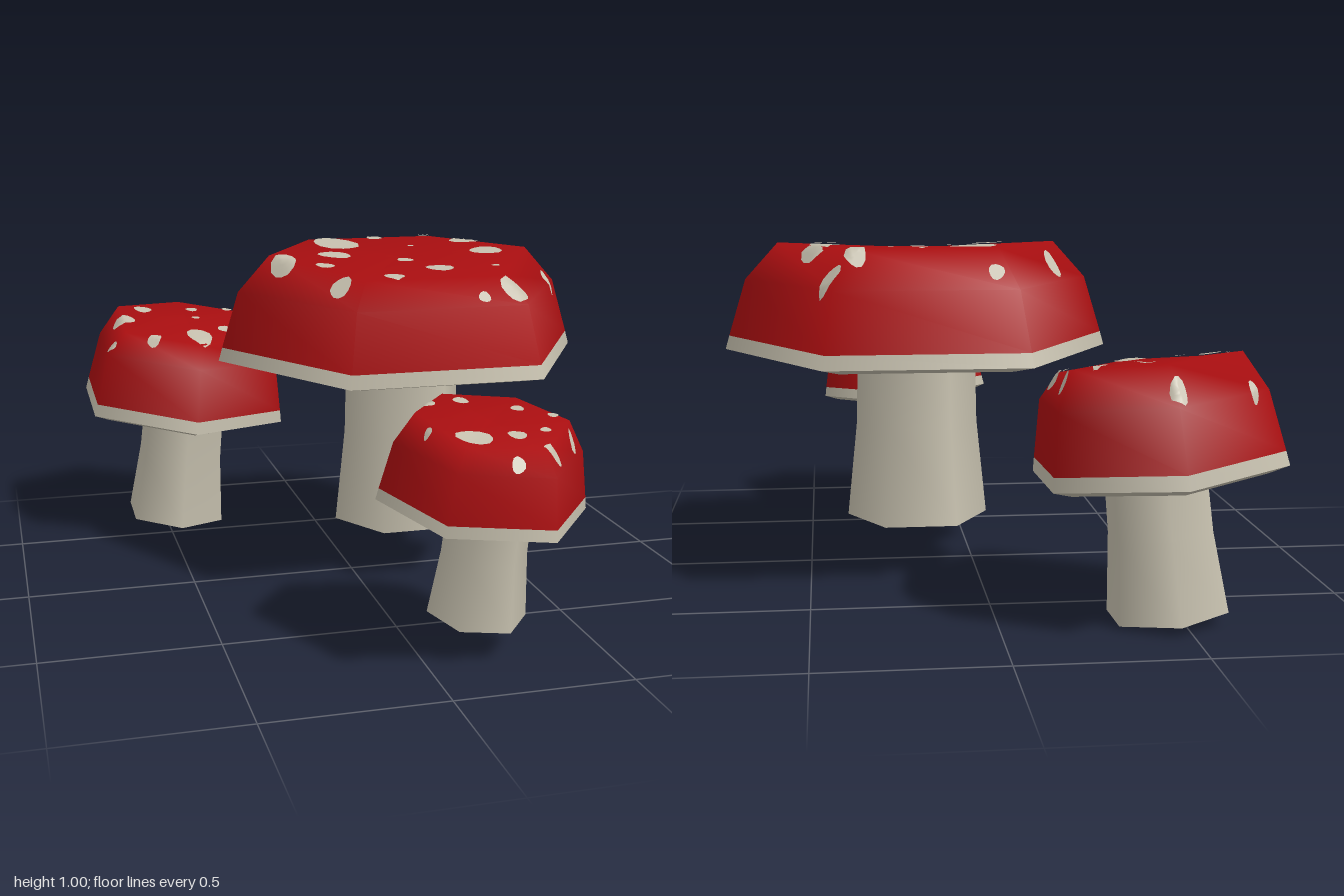
import * as THREE from 'three';
import { mergeGeometries } from 'three/addons/utils/BufferGeometryUtils.js';

const cream = new THREE.MeshStandardMaterial({ color: 0xc6c0ae });
cream.name = 'cream';
const red = new THREE.MeshStandardMaterial({ color: 0xa90e10 });
red.name = 'red';

const SIDES = 6;

// Six-sided turned shape; profile points run bottom to top, scaled by radius and height
function turned(points, r, h, phi) {
  return new THREE.LatheGeometry(points.map(([x, y]) => new THREE.Vector2(x * r, y * h)), SIDES, phi);
}

function part(name, geometry, material, parent, y = 0, z = 0, x = 0) {
  const mesh = new THREE.Mesh(geometry, material);
  mesh.name = name;
  mesh.position.set(x, y, z);
  parent.add(mesh);
  return mesh;
}

// Flat ellipse dropped onto the cap from above, so that it follows the surface
function spotGeometry(cap, [x, z, rx, rz]) {
  const ray = new THREE.Raycaster();
  const down = new THREE.Vector3(0, -1, 0);
  const rings = 3, segs = 12;
  const pos = [], index = [];
  const drop = (px, pz) => {
    ray.set(new THREE.Vector3(px, 3, pz), down);
    const hit = ray.intersectObject(cap)[0];
    if (!hit) return false;
    const n = hit.face.normal.clone().transformDirection(cap.matrixWorld);
    const p = hit.point.addScaledVector(n, 0.005);
    pos.push(p.x, p.y, p.z);
    return true;
  };
  if (!drop(x, z)) return null;
  for (let k = 1; k <= rings; k++) {
    for (let i = 0; i < segs; i++) {
      const a = (i / segs) * Math.PI * 2;
      const wobble = 1 + 0.08 * Math.sin(3 * a + x * 40);
      const s = (k / rings) * wobble;
      if (!drop(x + Math.cos(a) * rx * s, z + Math.sin(a) * rz * s)) return null;
      const j = (i + 1) % segs;
      const o = 1 + (k - 1) * segs, q = o - segs;
      if (k === 1) index.push(0, o + j, o + i);
      else index.push(q + i, q + j, o + j, q + i, o + j, o + i);
    }
  }
  const g = new THREE.BufferGeometry();
  g.setAttribute('position', new THREE.Float32BufferAttribute(pos, 3));
  g.setIndex(index);
  g.computeVertexNormals();
  return g;
}

function mushroom(root, m) {
  const group = new THREE.Group();
  group.name = m.name;
  group.position.set(...m.base);
  group.rotation.set(m.tilt[0], 0, m.tilt[1]);
  root.add(group);

  // Stem, flared at the foot, with a flat base
  const top = m.capY + 0.22 * m.h;
  part('stem', mergeGeometries([
    turned([[0, 0], [1, 0]], m.stemR, top, m.phi),
    turned([[1, 0], [0.86, 0.5], [0.83, 1]], m.stemR, top, m.phi),
  ]), cream, group);

  // Hollow underside and pale rim
  const [ox, oz] = m.offset;
  part('capUnderside', mergeGeometries([
    turned([[0, 0.2], [0.74, 0.2]], m.r, m.h, m.phi),
    turned([[0.74, 0.2], [0.84, 0]], m.r, m.h, m.phi),
    turned([[0.84, 0], [1, 0.06]], m.r, m.h, m.phi),
  ]), cream, group, m.capY, oz, ox);
  part('capRim', turned([[1, 0.06], [0.98, 0.18]], m.r, m.h, m.phi), cream, group, m.capY, oz, ox);

  // Red cap, its front top edge pressed down a little
  const dome = turned([[0.98, 0.18], [0.89, 0.68], [0.72, 1], [0, 0.95]], m.r, m.h, m.phi);
  const p = dome.attributes.position;
  for (let i = 0; i < p.count; i++) {
    if (p.getY(i) > 0.97 * m.h && p.getZ(i) > 0.3 * m.r) p.setY(i, p.getY(i) - 0.1 * m.h);
  }
  const cap = part('cap', dome, red, group, m.capY, oz, ox);

  // Pale spots
  root.updateMatrixWorld(true);
  const spots = m.spots.map((s) => spotGeometry(cap, s)).filter(Boolean);
  part(m.name + 'Spots', mergeGeometries(spots), cream, root);
}

export function createModel() {
  const root = new THREE.Group();
  root.name = 'mushrooms';

  mushroom(root, {
    name: 'largeMushroom', base: [0.172, 0.16, -0.04], tilt: [0, 0], offset: [0, -0.03],
    phi: Math.PI / 2, stemR: 0.213, capY: 0.5, r: 0.57, h: 0.335,
    // x, z, half width, half depth
    spots: [
      [0.025, -0.3, 0.07, 0.115], [-0.02, -0.475, 0.022, 0.016], [-0.21, -0.215, 0.025, 0.04],
      [-0.205, -0.005, 0.035, 0.06], [-0.035, -0.07, 0.05, 0.055], [-0.105, 0.095, 0.028, 0.033],
      [-0.095, 0.25, 0.03, 0.035], [0.06, 0.255, 0.03, 0.033], [0.165, 0.01, 0.025, 0.028],
      [0.23, 0.155, 0.042, 0.042], [0.18, -0.395, 0.025, 0.03], [0.36, -0.435, 0.028, 0.03],
      [0.43, -0.46, 0.03, 0.025], [0.455, -0.265, 0.055, 0.055], [0.445, -0.05, 0.05, 0.055],
      [0.625, 0, 0.018, 0.028], [0.4, 0.32, 0.04, 0.04], [0.3, 0.345, 0.018, 0.015],
      [0.4, 0.165, 0.012, 0.012], [0.255, -0.225, 0.01, 0.01],
    ],
  });

  mushroom(root, {
    name: 'mediumMushroom', base: [-0.465, 0.022, -0.67], tilt: [0.05, -0.095], offset: [-0.008, 0.01],
    phi: 0, stemR: 0.172, capY: 0.375, r: 0.36, h: 0.325,
    spots: [
      [-0.42, -0.92, 0.02, 0.022], [-0.64, -0.815, 0.013, 0.013], [-0.55, -0.725, 0.03, 0.033],
      [-0.375, -0.77, 0.02, 0.022], [-0.25, -0.78, 0.018, 0.015], [-0.625, -0.615, 0.035, 0.038],
      [-0.375, -0.67, 0.014, 0.014], [-0.29, -0.565, 0.03, 0.03], [-0.2, -0.635, 0.018, 0.02],
      [-0.675, -0.49, 0.015, 0.015], [-0.545, -0.44, 0.022, 0.018], [-0.395, -0.455, 0.04, 0.08],
      [-0.25, -0.445, 0.02, 0.022], [-0.17, -0.725, 0.012, 0.03], [-0.175, -0.54, 0.018, 0.03],
    ],
  });

  mushroom(root, {
    name: 'smallMushroom', base: [0.17, 0.102, 0.69], tilt: [0.09, -0.07], offset: [-0.025, 0],
    phi: 1.43, stemR: 0.138, capY: 0.305, r: 0.286, h: 0.26,
    spots: [
      [0.03, 0.64, 0.027, 0.03], [0.14, 0.61, 0.022, 0.022], [0.315, 0.535, 0.02, 0.025],
      [0.13, 0.51, 0.01, 0.012], [-0.055, 0.69, 0.012, 0.012], [0.28, 0.67, 0.018, 0.02],
      [0.355, 0.735, 0.014, 0.016], [0.095, 0.855, 0.05, 0.04], [0.215, 0.84, 0.025, 0.025],
      [0.3, 0.82, 0.015, 0.013], [0.28, 0.915, 0.022, 0.015], [0.18, 0.94, 0.018, 0.012],
      [0.375, 0.81, 0.01, 0.015], [-0.005, 0.79, 0.01, 0.01],
    ],
  });

  return root;
}
